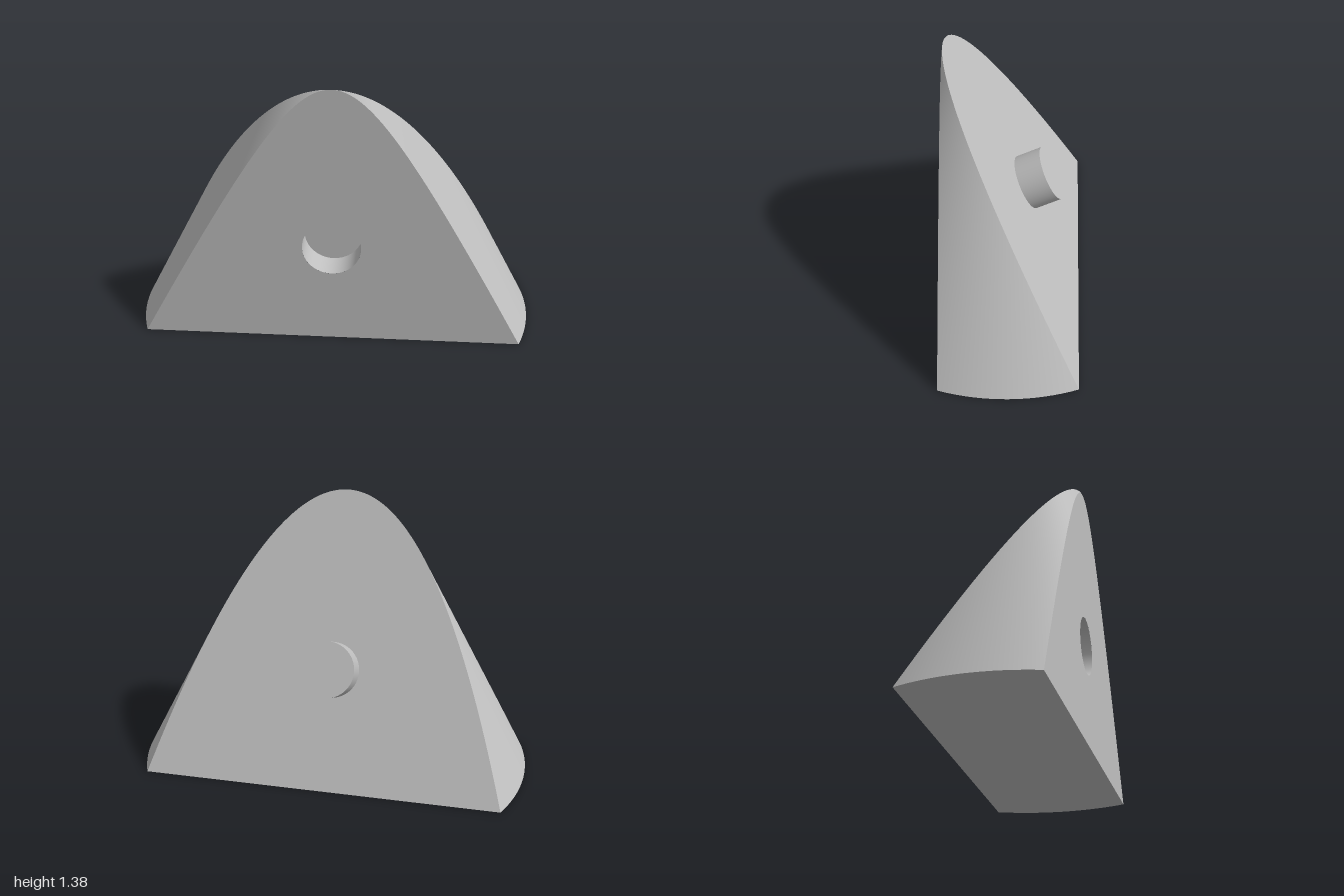
import * as THREE from 'three';
import { ParametricGeometry } from 'three/addons/geometries/ParametricGeometry.js';

// The block is a cone (base radius 1, height 2) cut by an upright front plane
// and by a back plane sloping parallel to the cone's side.
const HALF_DEPTH = 0.346;
const CONE_Z = 0.038;
const TOP = 4 * HALF_DEPTH;
const ROWS = 48;
const COLS = 16;

const radiusAt = (y) => 1 - y / 2;
const backZ = (y) => y / 2 - HALF_DEPTH;
const halfWidth = (y, z) => Math.sqrt(Math.max(0, radiusAt(y) ** 2 - (z - CONE_Z) ** 2));
// Rows crowd together near the rounded top
const rowHeight = (t) => TOP * (1 - (1 - t) ** 2);

// Arched outline of a cut face, seen along z
function archShape(zAt) {
  const right = [];
  for (let i = 0; i <= ROWS; i++) {
    const y = rowHeight(i / ROWS);
    right.push(new THREE.Vector2(i === ROWS ? 0 : halfWidth(y, zAt(y)), y));
  }
  const left = right.slice(0, -1).reverse().map((p) => new THREE.Vector2(-p.x, p.y));
  return new THREE.Shape([...right, ...left]);
}

// Point on the cone between the two cuts; side is +1 or -1
function conePoint(side, u, v) {
  const y = rowHeight(u);
  const r = radiusAt(y);
  const angle = (z) => Math.asin(Math.min(1, Math.max(-1, (z - CONE_Z) / r)));
  const a = THREE.MathUtils.lerp(angle(backZ(y)), angle(HALF_DEPTH), side > 0 ? v : 1 - v);
  return [side * r * Math.cos(a), y, CONE_Z + r * Math.sin(a)];
}

function coneSide(side) {
  const geo = new ParametricGeometry((u, v, target) => target.set(...conePoint(side, u, v)), ROWS, COLS);
  // Smooth cone normals
  const pos = geo.attributes.position;
  const n = new THREE.Vector3();
  for (let i = 0; i < pos.count; i++) {
    n.set(pos.getX(i), radiusAt(pos.getY(i)) / 2, pos.getZ(i) - CONE_Z).normalize();
    geo.attributes.normal.setXYZ(i, n.x, n.y, n.z);
  }
  return geo;
}

export function createModel() {
  const group = new THREE.Group();
  const grey = new THREE.MeshStandardMaterial({ color: 0xc0c0c0 });
  grey.name = 'grey';
  const add = (name, geo) => {
    const mesh = new THREE.Mesh(geo, grey);
    mesh.name = name;
    group.add(mesh);
    return mesh;
  };

  // Curved sides
  add('leftSide', coneSide(1));
  add('rightSide', coneSide(-1));

  // Front face with a round socket
  const holeR = 0.147, holeY = 0.525, holeDepth = 0.15;
  const front = archShape(() => HALF_DEPTH);
  front.holes.push(new THREE.Path().absarc(0, holeY, holeR, 0, Math.PI * 2, true));
  add('frontFace', new THREE.ShapeGeometry(front, 48)).position.z = HALF_DEPTH;

  const wall = new THREE.LatheGeometry(
    [new THREE.Vector2(holeR, 0), new THREE.Vector2(holeR, -holeDepth)], 48).rotateX(Math.PI / 2);
  add('socketWall', wall).position.set(0, holeY, HALF_DEPTH);
  add('socketFloor', new THREE.CircleGeometry(holeR, 48)).position.set(0, holeY, HALF_DEPTH - holeDepth);

  // Sloping back face, turned to face backwards
  const back = new THREE.ShapeGeometry(archShape(backZ));
  const pos = back.attributes.position;
  for (let i = 0; i < pos.count; i++) {
    pos.setXYZ(i, -pos.getX(i), pos.getY(i), backZ(pos.getY(i)));
  }
  back.computeVertexNormals();
  add('backFace', back);

  // Underside
  const rim = [];
  for (let i = 0; i <= COLS; i++) {
    const [x, , z] = conePoint(1, 0, i / COLS);
    rim.push(new THREE.Vector2(x, z));
  }
  const mirrored = rim.slice().reverse().map((p) => new THREE.Vector2(-p.x, p.y));
  add('underside', new THREE.ShapeGeometry(new THREE.Shape([...rim, ...mirrored])).rotateX(Math.PI / 2));

  // Peg standing square to the sloping back
  const pegLength = 0.142;
  const axis = new THREE.Vector3(0, 1, -2).normalize();
  const peg = add('peg', new THREE.CylinderGeometry(0.143, 0.143, pegLength, 48));
  peg.quaternion.setFromUnitVectors(new THREE.Vector3(0, 1, 0), axis);
  peg.position.set(0, 0.558, backZ(0.558)).addScaledVector(axis, pegLength / 2);

  return group;
}
